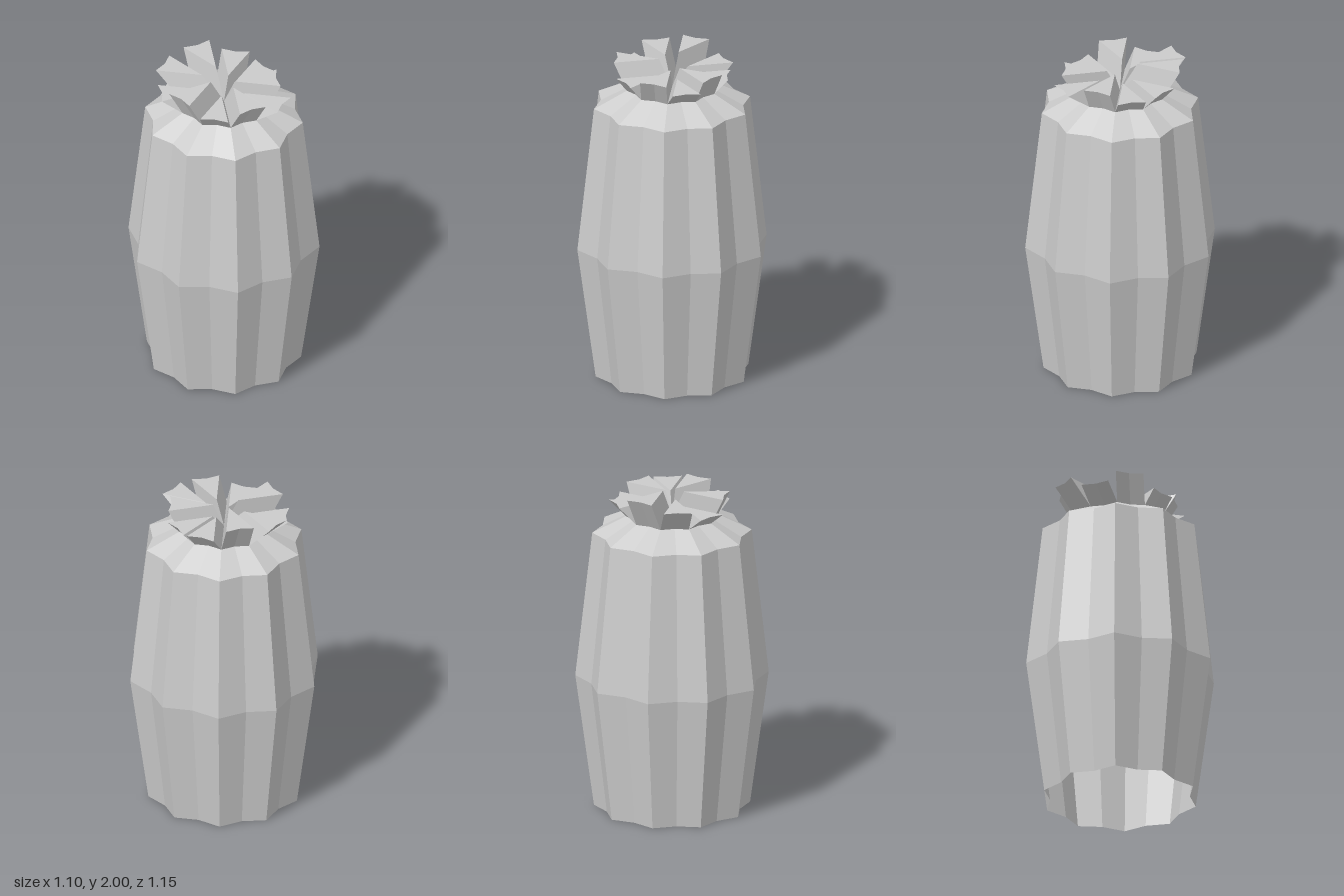
import * as THREE from 'three';

const RIBS = 10;
const VALLEY = 0.895; // valley radius relative to ridge radius

// [ridge radius, height] from base to rim
const PROFILE = [[0.465, 0], [0.576, 0.82], [0.475, 1.715], [0.275, 1.815]];

// One entry per crown lobe, clockwise from the back: shift in x, top height, shift in z
const LOBES = [
  [0.03, 2.0, -0.1], [0.09, 1.93, -0.055], [0.081, 1.905, 0], [0.05, 1.955, 0.042], [0.044, 1.92, 0.134],
  [0, 1.955, 0.08], [-0.06, 1.905, 0.04], [-0.081, 1.98, -0.03], [-0.093, 1.905, -0.08], [-0.055, 1.965, -0.135],
];

// Point on the ribbed outline; even steps are ridges, odd steps are valleys
function ribPoint(step, radius, y) {
  const a = (step * Math.PI) / RIBS;
  const r = step % 2 ? radius * VALLEY : radius;
  return new THREE.Vector3(Math.sin(a) * r, y, -Math.cos(a) * r);
}

// Triangles joining two closed loops of points
function wall(lower, upper) {
  const out = [];
  lower.forEach((p, i) => {
    const j = (i + 1) % lower.length;
    out.push(p, upper[i], upper[j], p, upper[j], lower[j]);
  });
  return out;
}

function makeMesh(name, points, material) {
  const geometry = new THREE.BufferGeometry().setFromPoints(points);
  geometry.computeVertexNormals();
  const mesh = new THREE.Mesh(geometry, material);
  mesh.name = name;
  return mesh;
}

export function createModel() {
  const group = new THREE.Group();
  group.name = 'barrelCactus';
  const material = new THREE.MeshStandardMaterial({
    color: 0xcccccc, flatShading: true, side: THREE.DoubleSide,
  });

  // Ribbed body, open underneath
  const rings = PROFILE.map(([r, y]) =>
    Array.from({ length: RIBS * 2 }, (_, i) => ribPoint(i, r, y)));
  const body = [];
  for (let i = 0; i < rings.length - 1; i++) body.push(...wall(rings[i], rings[i + 1]));
  group.add(makeMesh('ribbedBody', body, material));

  // Crown: each sector of the rim is raised and pushed outward
  const crown = new THREE.Group();
  crown.name = 'crown';
  const [rimRadius, rimY] = PROFILE[PROFILE.length - 1];
  LOBES.forEach(([dx, topY, dz], k) => {
    const base = [new THREE.Vector3(0, rimY, 0)];
    for (let s = 0; s < 3; s++) base.push(ribPoint(2 * k + s, rimRadius, rimY));
    const shift = new THREE.Vector3(dx, topY - rimY, dz);
    const top = base.map((p) => p.clone().add(shift));
    const points = [...wall(base, top), top[0], top[2], top[1], top[0], top[3], top[2]];
    crown.add(makeMesh('crownLobe' + (k + 1), points, material));
  });
  group.add(crown);
  return group;
}
